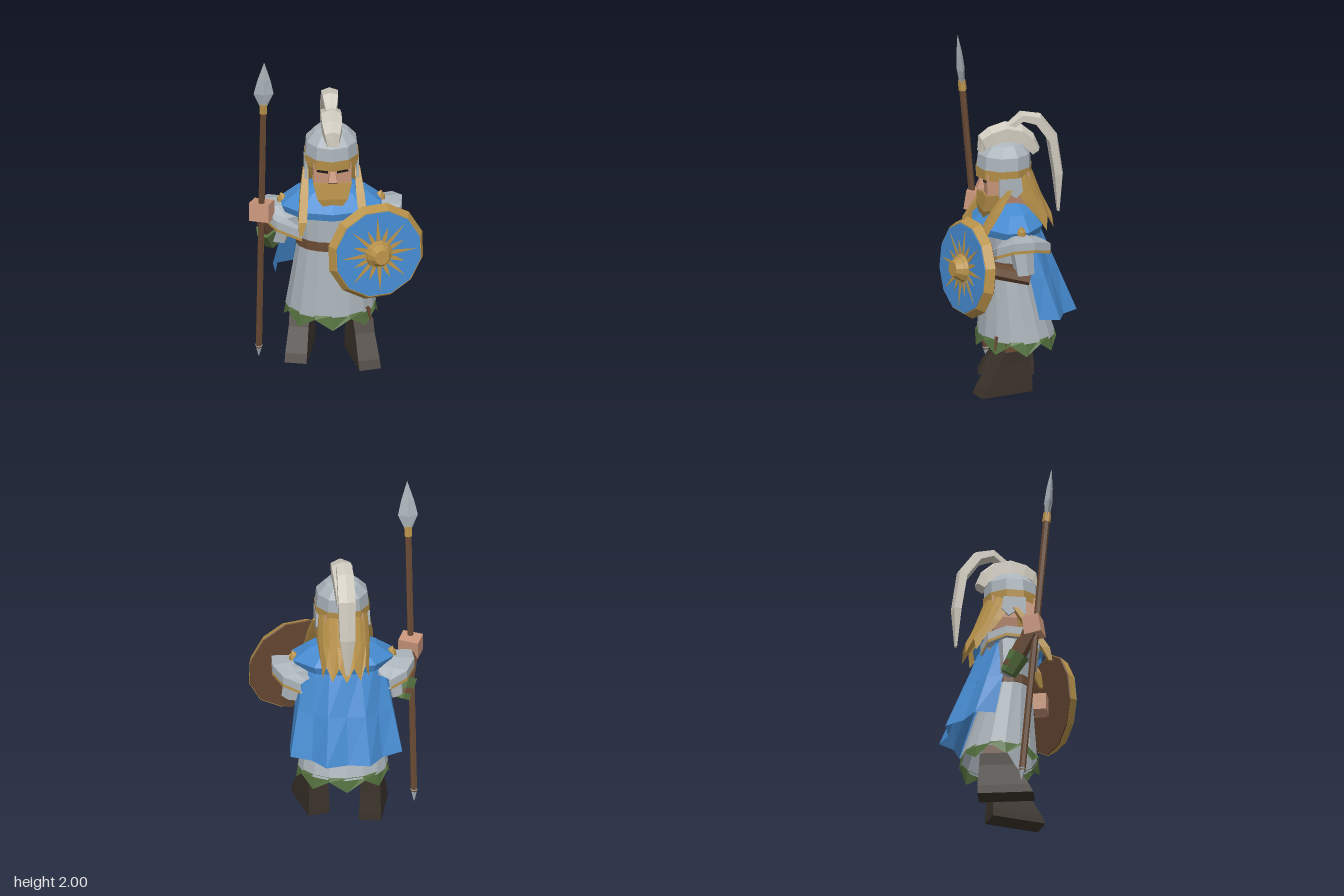
import * as THREE from 'three';

const CX = -0.025; // body centre line
const mat = (name, color) => {
  const m = new THREE.MeshStandardMaterial({ color, flatShading: true, side: THREE.DoubleSide });
  m.name = name;
  return m;
};
const V = (x, y, z) => new THREE.Vector3(x, y, z);

// Skin rows of points; closed wraps each row, caps fill the end rows
function loft(rows, closed = true, caps = true) {
  const pos = [];
  const tri = (...p) => p.forEach(v => pos.push(v.x, v.y, v.z));
  const n = rows[0].length;
  for (let r = 0; r < rows.length - 1; r++) {
    for (let i = 0; i < (closed ? n : n - 1); i++) {
      const j = (i + 1) % n, [a, b] = [rows[r], rows[r + 1]];
      tri(a[i], a[j], b[j]);
      tri(a[i], b[j], b[i]);
    }
  }
  if (closed && caps) {
    const a = rows[0], b = rows[rows.length - 1];
    for (let i = 1; i < n - 1; i++) {
      tri(a[0], a[i + 1], a[i]);
      tri(b[0], b[i], b[i + 1]);
    }
  }
  const g = new THREE.BufferGeometry();
  g.setAttribute('position', new THREE.Float32BufferAttribute(pos, 3));
  g.computeVertexNormals();
  return g;
}

// Horizontal elliptical ring
const ring = (n, y, rx, rz, cz = 0, cx = CX, start = 0) => Array.from({ length: n }, (_, i) => {
  const a = start + i / n * Math.PI * 2;
  return V(cx + rx * Math.sin(a), y, cz + rz * Math.cos(a));
});

// Horizontal rectangular section
const rect = (y, w, z0, z1, cx = 0) => [V(cx - w, y, z1), V(cx + w, y, z1), V(cx + w, y, z0), V(cx - w, y, z0)];

// Ridged strip along the centre line: [inner z, inner y, outer z, outer y, half width]
const strip = list => loft(list.map(([zi, yi, zo, yo, w]) => {
  const ze = zi + (zo - zi) * 0.75, ye = yi + (yo - yi) * 0.75;
  return [V(CX - w, yi, zi), V(CX + w, yi, zi), V(CX + w, ye, ze), V(CX, yo, zo), V(CX - w, ye, ze)];
}));

// Tapered rod between two points
function rod(a, b, r0, r1, n = 6) {
  const d = b.clone().sub(a);
  const g = new THREE.CylinderGeometry(r1, r0, d.length(), n);
  g.applyQuaternion(new THREE.Quaternion().setFromUnitVectors(V(0, 1, 0), d.normalize()));
  return g.translate((a.x + b.x) / 2, (a.y + b.y) / 2, (a.z + b.z) / 2);
}

export function createModel() {
  const root = new THREE.Group();
  const blue = mat('blue cloth', 0x458acf), steel = mat('steel', 0xabb4bb), gold = mat('gold', 0xb8924a),
    skin = mat('skin', 0xc8957a), brown = mat('brown leather', 0x694a34), boot = mat('dark boot', 0x3b332b),
    green = mat('green cloth', 0x55713f), white = mat('crest white', 0xd0cbbf), dark = mat('eye black', 0x1f1b19);
  const add = (name, geo, m, parent = root) => {
    const o = new THREE.Mesh(geo, m);
    o.name = name;
    parent.add(o);
    return o;
  };

  // Boots and trousers, left foot ahead, toes turned out
  for (const s of [1, -1]) {
    const leg = new THREE.Group();
    leg.name = s > 0 ? 'leftLeg' : 'rightLeg';
    leg.position.set(CX + s * 0.174, 0, s > 0 ? 0.04 : -0.065);
    leg.rotation.y = s * 0.22;
    root.add(leg);
    add('boot', loft([rect(0, 0.064, -0.145, 0.18), rect(0.05, 0.064, -0.145, 0.155),
      rect(0.18, 0.058, -0.135, 0.07), rect(0.255, 0.06, -0.13, 0.03)]), boot, leg);
    add('trouser', loft([rect(0.25, 0.054, -0.12, 0.022), rect(0.31, 0.05, -0.1, 0.02)]), brown, leg);
  }

  // Tunic, belt and ragged hem with eight points
  add('tunic', loft([ring(16, 0.31, 0.262, 0.225, -0.065), ring(16, 0.76, 0.195, 0.135, -0.01),
    ring(16, 0.95, 0.215, 0.14, -0.01), ring(16, 1.04, 0.12, 0.1)], true, false), steel);
  add('belt', loft([ring(16, 0.73, 0.205, 0.145, -0.01), ring(16, 0.785, 0.2, 0.142, -0.01)]), brown);
  const hemTop = ring(16, 0.325, 0.258, 0.222, -0.064);
  const hemLow = ring(16, 0.3, 0.272, 0.235, -0.063).map((p, i) => V(p.x, i % 2 ? 0.3 : 0.235, p.z));
  add('hem', loft([hemLow, hemTop], true, false), green);
  add('strapEnd', rod(V(0.195, 0.27, 0.11), V(0.18, 0.35, 0.1), 0.004, 0.012, 4), brown);

  // Cape and shoulder mantle
  const capeLow = [[-0.34, -0.13], [-0.35, -0.25], [-0.23, -0.3], [-0.15, -0.395], [-0.025, -0.36],
    [0.105, -0.395], [0.18, -0.3], [0.3, -0.25], [0.29, -0.13]];
  const capeRow = (y, t) => capeLow.map(([x, z], i) => {
    const a = (i / 8 - 0.5) * Math.PI * 0.95;
    return V(THREE.MathUtils.lerp(CX + 0.25 * Math.sin(a), x, t), y + (t === 1 ? 0.02 * (Math.abs(i - 4) / 4) : 0),
      THREE.MathUtils.lerp(-0.02 - 0.17 * Math.cos(a), z, t));
  }).reverse();
  add('cape', loft([capeRow(0.45, 1), capeRow(0.72, 0.5), capeRow(0.98, 0)], false), blue);
  add('mantle', loft([ring(10, 0.955, 0.285, 0.195, -0.01), ring(10, 1.0, 0.305, 0.205, -0.012),
    ring(10, 1.075, 0.205, 0.13, -0.025), ring(10, 1.12, 0.09, 0.08, -0.02)], true, false), blue);

  // Shoulder guards with gold edging, tucked under the mantle, and studs
  for (const s of [1, -1]) {
    const g = new THREE.Group();
    g.name = s > 0 ? 'leftShoulder' : 'rightShoulder';
    root.add(g);
    const edge = [[0.175, 0.865, 0.13], [0.32, 0.93, 0.125], [0.405, 0.98, 0.04], [0.412, 0.982, -0.08],
      [0.36, 0.955, -0.18], [0.26, 0.915, -0.21]];
    const row = (k, drop, out = 0) => {
      const r = edge.map(([x, y, z]) => V(CX + s * (0.175 + (x - 0.175) * k + out), y - drop, -0.03 + (z + 0.03) * (k * 0.5 + 0.5)));
      return s > 0 ? r : r.reverse();
    };
    add('shoulderGuard', loft([row(0.85, 0.06), row(1, 0.06), row(1, 0), row(0.6, -0.005), row(0, 0)], false), steel, g);
    add('guardTrim', loft([row(1, 0.064, 0.002), row(1, 0.046, 0.002)], false), gold, g);
    for (const [r0, r1, y0, y1] of [[0.03, 0.022, 0.995, 1.018], [0.02, 0.004, 1.018, 1.04]]) {
      add('stud', rod(V(CX + s * 0.284, y0, -0.03), V(CX + s * 0.291, y1, -0.03), r0, r1, 7), gold, g);
    }
  }

  // Left arm behind the shield
  add('leftUpperArm', rod(V(0.23, 0.97, -0.03), V(0.275, 0.75, -0.045), 0.075, 0.058), steel);
  add('leftForearm', rod(V(0.29, 0.725, -0.075), V(0.22, 0.785, 0.17), 0.036, 0.05), brown);
  const leftHand = add('leftHand', new THREE.BoxGeometry(0.12, 0.1, 0.11), skin);
  leftHand.position.set(0.21, 0.79, 0.2);
  leftHand.rotation.y = -0.3;

  // Right arm raised to the spear
  add('rightUpperArm', rod(V(-0.28, 0.96, -0.03), V(-0.335, 0.74, -0.04), 0.075, 0.06), steel);
  add('rightCuff', rod(V(-0.365, 0.71, -0.06), V(-0.405, 0.82, 0.0), 0.05, 0.062), green);
  add('rightForearm', rod(V(-0.38, 0.74, -0.05), V(-0.43, 0.95, 0.06), 0.05, 0.048), brown);
  const hand = add('rightHand', new THREE.BoxGeometry(0.12, 0.11, 0.1), skin);
  hand.position.set(-0.432, 0.985, 0.08);
  hand.rotation.set(-0.15, -0.4, 0);

  // Spear
  const at = y => V(-0.445 + y * 0.011, y, 0.005 + y * 0.09);
  add('spearShaft', rod(at(0.06), at(1.68), 0.02, 0.02, 6), brown);
  add('spearCollar', rod(at(1.66), at(1.72), 0.025, 0.022, 6), gold);
  add('spearButt', rod(at(0.0), at(0.075), 0.002, 0.022, 6), steel);
  add('spearHead', loft([[1.7, 0.02, 0.015], [1.79, 0.058, 0.024], [1.88, 0.038, 0.018], [2, 0.001, 0.001]].map(([y, w, d]) =>
    ring(4, y, w, d, at(y).z, at(y).x))), steel);

  // Round shield, built facing +z with its back at z = 0
  const shield = new THREE.Group();
  shield.name = 'shield';
  shield.position.set(0.218, 0.8, 0.265);
  shield.rotation.set(-0.1, 0.28, 0, 'YXZ');
  root.add(shield);
  const disc = (r0, r1, z0, z1) => new THREE.CylinderGeometry(r1, r0, z1 - z0, 12)
    .rotateX(Math.PI / 2).rotateZ(Math.PI / 12).translate(0, 0, (z0 + z1) / 2);
  add('shieldBack', disc(0.29, 0.294, -0.006, 0.002), brown, shield);
  add('shieldRim', disc(0.297, 0.268, 0, 0.05), gold, shield);
  add('shieldFace', disc(0.264, 0.262, 0.046, 0.054), blue, shield);
  add('shieldBoss', disc(0.085, 0.074, 0.05, 0.078), gold, shield);
  add('shieldBossCap', disc(0.07, 0.045, 0.078, 0.118), gold, shield);
  for (let i = 0; i < 16; i++) {
    const len = i % 2 ? 0.165 : 0.228;
    const ray = new THREE.Shape([[0.06, -0.012], [0.11, -0.012], [len, 0], [0.11, 0.012], [0.06, 0.012]]
      .map(p => new THREE.Vector2(...p)));
    add('sunRay', new THREE.ExtrudeGeometry(ray, { depth: 0.005, bevelEnabled: false })
      .translate(0, 0, 0.052).rotateZ(i * Math.PI / 8), gold, shield);
  }

  // Head, nose, slanted eyes and beard
  add('face', loft([rect(1.08, 0.08, -0.1, 0.09, CX), rect(1.18, 0.108, -0.12, 0.13, CX), rect(1.31, 0.11, -0.12, 0.132, CX)]), skin);
  add('nose', loft([rect(1.185, 0.026, 0.12, 0.155, CX), rect(1.2, 0.026, 0.12, 0.17, CX), rect(1.275, 0.01, 0.12, 0.142, CX)]), skin);
  for (const s of [1, -1]) {
    const eye = add('eye', new THREE.BoxGeometry(0.066, 0.019, 0.008), dark);
    eye.position.set(CX + s * 0.058, 1.258, 0.132);
    eye.rotation.z = s * 0.2;
  }
  add('beard', loft([rect(1.015, 0.045, 0.04, 0.14, CX), rect(1.08, 0.088, 0.03, 0.15, CX), rect(1.18, 0.112, 0.03, 0.138, CX)]), gold);

  // Helmet, brow band and swept cheek plates
  add('helmet', loft([ring(10, 1.32, 0.16, 0.162, 0.008), ring(10, 1.41, 0.152, 0.155, 0.006),
    ring(10, 1.465, 0.1, 0.105), ring(10, 1.495, 0.03, 0.03)]), steel);
  add('helmetBand', loft([ring(10, 1.272, 0.162, 0.163, 0.008), ring(10, 1.335, 0.165, 0.167, 0.008)], true, false), gold);
  const plate = new THREE.Shape([[0.07, 1.29], [0.07, 1.18], [0.01, 1.2], [-0.03, 1.17], [-0.07, 1.21], [-0.06, 1.29]]
    .map(([z, y]) => new THREE.Vector2(-z, y)));
  for (const s of [1, -1]) {
    add('cheekPlate', new THREE.ExtrudeGeometry(plate, { depth: 0.015, bevelEnabled: false })
      .rotateY(Math.PI / 2).translate(CX + s * 0.15 - 0.0075, 0, 0), steel);
  }

  // Long hair with pointed ends, and two front braids
  const hairRow = (y, rx, rz, cz, zig = 0) => Array.from({ length: 11 }, (_, i) => {
    const a = Math.PI * (0.5 + i / 10);
    return V(CX + rx * Math.sin(a), y - (i % 2 ? zig : 0), cz + rz * Math.cos(a) - (i % 2 ? zig * 0.25 : 0));
  });
  add('hair', loft([hairRow(1.03, 0.14, 0.105, -0.165, 0.08), hairRow(1.14, 0.155, 0.14, -0.075),
    hairRow(1.3, 0.15, 0.155, 0)], false), gold);
  for (const s of [1, -1]) {
    const path = [[0.188, 0.88, 0.21, 0.014], [0.176, 0.96, 0.18, 0.034], [0.162, 1.1, 0.09, 0.034], [0.15, 1.22, 0.01, 0.022]];
    add('braid', loft(path.map(([x, y, z, r]) => ring(4, y, r, r, z, CX + s * x, Math.PI / 4))), gold);
  }

  // Helmet crest and trailing plume
  add('crest', strip([[0.125, 1.41, 0.165, 1.43, 0.03], [0.125, 1.45, 0.155, 1.52, 0.045], [0.07, 1.47, 0.095, 1.565, 0.057],
    [0, 1.48, 0, 1.592, 0.06], [-0.08, 1.46, -0.1, 1.565, 0.057], [-0.13, 1.42, -0.17, 1.505, 0.052], [-0.155, 1.39, -0.205, 1.42, 0.046]]), white);
  add('plume', strip([[-0.03, 1.54, -0.02, 1.585, 0.03], [-0.1, 1.595, -0.1, 1.645, 0.045], [-0.175, 1.57, -0.21, 1.625, 0.048],
    [-0.255, 1.46, -0.31, 1.49, 0.05], [-0.288, 1.25, -0.345, 1.25, 0.045], [-0.31, 1.02, -0.325, 1.02, 0.012]]), white);

  return root;
}
